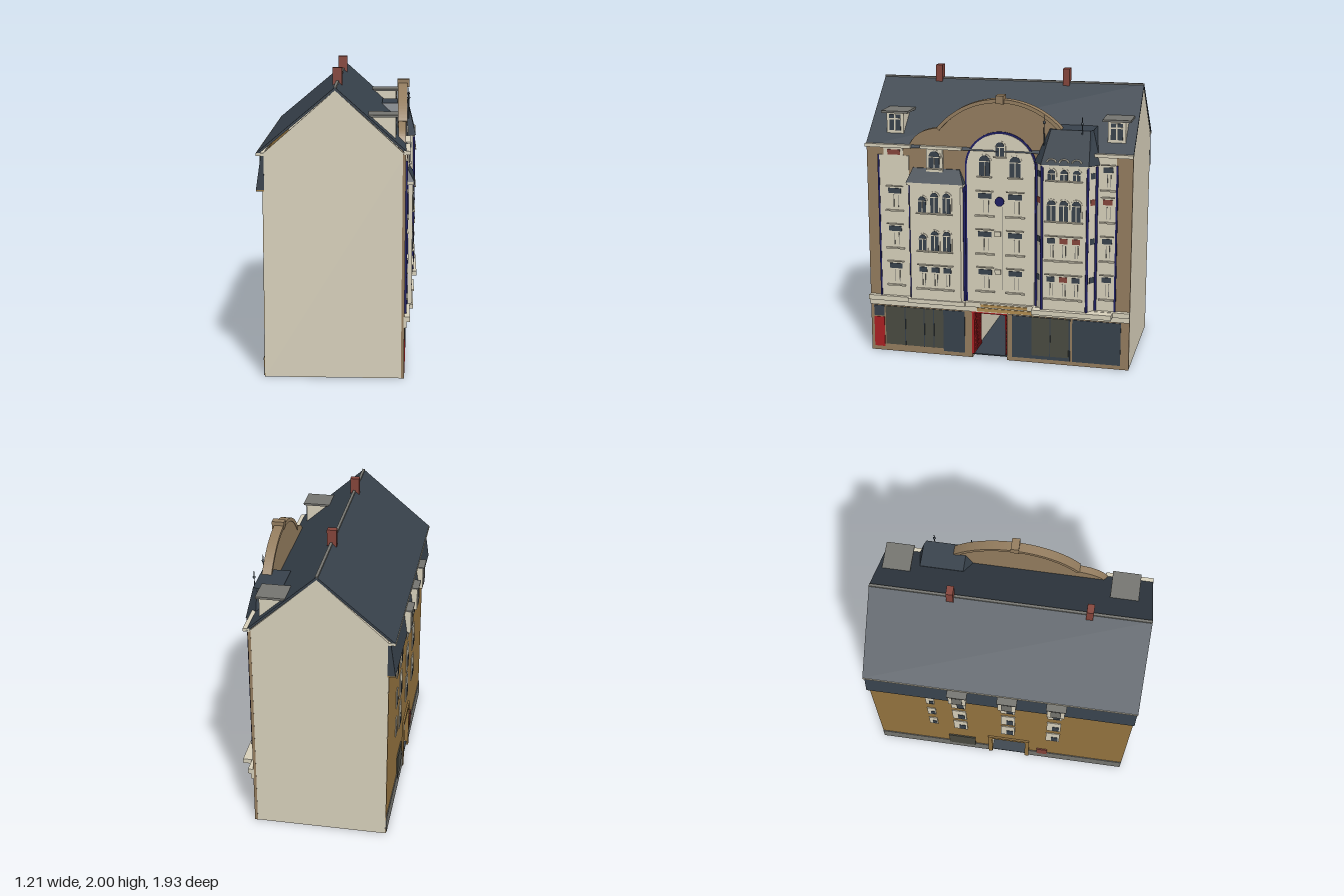
import * as THREE from 'three';

const mat = (name, color, double) => {
  const m = new THREE.MeshStandardMaterial({ color });
  m.name = name;
  if (double) m.side = THREE.DoubleSide;
  return m;
};

export function createModel() {
  const cream = mat('cream plaster', 0xd6cfba), brown = mat('brown stone', 0x937c5e);
  const ochre = mat('ochre render', 0x94733f), slate = mat('slate', 0x37414b);
  const blue = mat('blue trim', 0x1d1d62), red = mat('red paint', 0xa91f22);
  const brick = mat('brick red', 0x84443a), shopGlass = mat('shop glass', 0x494a40);
  const grey = mat('grey stone', 0x74746f), gold = mat('gold sign', 0xb08c50);

  const model = new THREE.Group();
  model.name = 'townhouse';
  const house = new THREE.Group();
  house.name = 'house';
  house.rotation.y = -0.092;
  house.position.set(-0.03, 0, -0.005);
  model.add(house);
  const group = (name) => {
    const g = new THREE.Group();
    g.name = name;
    house.add(g);
    return g;
  };
  const body = group('body'), facade = group('facade'), rear = group('rear');
  facade.position.z = -0.04;

  const add = (g, name, m, geo) => {
    const mesh = new THREE.Mesh(geo, m);
    mesh.name = name;
    g.add(mesh);
    return mesh;
  };
  // Box from its limits
  const box = (g, name, m, x0, x1, y0, y1, z0, z1) => add(g, name, m,
    new THREE.BoxGeometry(Math.abs(x1 - x0), Math.abs(y1 - y0), Math.abs(z1 - z0))
      .translate((x0 + x1) / 2, (y0 + y1) / 2, (z0 + z1) / 2));
  // Shape drawn in (z, y), front at x, thickness going back
  const slab = (g, name, m, shape, x, depth) => add(g, name, m,
    new THREE.ExtrudeGeometry(shape, { depth, bevelEnabled: false, curveSegments: 20 })
      .rotateY(-Math.PI / 2).translate(x, 0, 0));
  const poly = (pts) => new THREE.Shape(pts.map(p => new THREE.Vector2(p[0], p[1])));
  const arch = (z, w, y0, y1) => {
    const s = new THREE.Shape(), r = w / 2;
    s.moveTo(z - r, y0);
    s.lineTo(z + r, y0);
    s.absarc(z, y1 - r, r, 0, Math.PI, false);
    s.closePath();
    return s;
  };
  // Solid between two plans of [x, z] points, running from +z to -z along the front
  const loft = (g, name, m, a, b, y0, y1) => {
    const n = a.length, pos = [];
    const A = i => [a[i % n][0], y0, a[i % n][1]], B = i => [b[i % n][0], y1, b[i % n][1]];
    for (let i = 0; i < n; i++) pos.push(...A(i), ...A(i + 1), ...B(i + 1), ...A(i), ...B(i + 1), ...B(i));
    for (let i = 1; i < n - 1; i++) pos.push(...B(0), ...B(i), ...B(i + 1), ...A(0), ...A(i + 1), ...A(i));
    const geo = new THREE.BufferGeometry();
    geo.setAttribute('position', new THREE.Float32BufferAttribute(pos, 3));
    geo.computeVertexNormals();
    return add(g, name, m, geo);
  };
  // Wall with the carriage passage cut out at the bottom
  const wallShape = (z0, z1, za, zb, h, top) =>
    poly([[z0, 0], [za, 0], [za, h], [zb, h], [zb, 0], [z1, 0], [z1, top], [z0, top]]);

  // Outer shell
  const gable = poly([[-0.447, 0], [0.46, 0], [0.46, 1.485], [0.014, 1.89], [-0.447, 1.485]]);
  for (const z of [-0.922, 0.902])
    add(body, 'gableWall', cream, new THREE.ExtrudeGeometry(gable, { depth: 0.02, bevelEnabled: false }).translate(0, 0, z));
  slab(body, 'backWall', ochre, wallShape(-0.92, 0.92, -0.07, 0.18, 0.34, 1.48), -0.435, 0.015);
  slab(body, 'frontWall', brown, wallShape(-0.923, 0.923, -0.07, 0.18, 0.34, 1.49), 0.465, 0.02);

  // Passage
  for (const z of [-0.08, 0.18]) box(body, 'passageWall', cream, -0.435, 0.445, 0, 1.4, z, z + 0.01);
  box(body, 'passageCeiling', cream, -0.435, 0.445, 0.34, 0.35, -0.07, 0.18);
  box(body, 'passageFloor', slate, -0.45, 0.46, 0.022, 0.03, -0.07, 0.18);
  box(body, 'passageWindow', slate, 0.0, 0.1, 0.15, 0.23, -0.086, -0.08);
  for (const z of [-0.058, 0.168]) {
    for (let i = 0; i < 8; i++) {
      const x = 0.27 + i * 0.025;
      box(body, 'gateBar', red, x, x + 0.01, 0.035, 0.32, z - 0.004, z + 0.004);
    }
    for (let i = 0; i < 10; i++) box(body, 'gateRail', red, 0.27, 0.455, 0.035 + i * 0.031, 0.045 + i * 0.031, z - 0.004, z + 0.004);
  }

  // Main roof, ridge, chimneys and front dormers
  const roof = poly([[-0.487, 1.49], [-0.465, 1.49], [0.014, 1.89], [0.465, 1.49], [0.487, 1.49], [0.014, 1.91]]);
  add(body, 'roof', slate, new THREE.ExtrudeGeometry(roof, { depth: 1.85, bevelEnabled: false }).translate(0, 0, -0.925));
  box(body, 'ridgeCap', grey, 0.005, 0.023, 1.9, 1.913, -0.925, 0.925);
  for (const z of [0.52, -0.39]) box(body, 'chimney', brick, -0.02, 0.044, 1.87, 2, z - 0.023, z + 0.023);
  for (const z of [0.735, -0.8]) {
    box(body, 'dormer', cream, 0.22, 0.4, 1.57, 1.71, z - 0.06, z + 0.06);
    box(body, 'dormerRoof', grey, 0.2, 0.415, 1.71, 1.725, z - 0.095, z + 0.095);
    box(body, 'dormerWindow', slate, 0.4, 0.405, 1.59, 1.7, z - 0.04, z + 0.04);
    box(body, 'dormerMullion', cream, 0.402, 0.408, 1.59, 1.7, z - 0.005, z + 0.005);
    box(body, 'dormerRail', cream, 0.402, 0.408, 1.665, 1.675, z - 0.04, z + 0.04);
  }

  // Curved parapet
  const par = new THREE.Shape();
  par.moveTo(-0.64, 1.45);
  par.lineTo(0.67, 1.45);
  par.quadraticCurveTo(0.645, 1.61, 0.455, 1.63);
  par.absarc(0.015, 1.274, 0.566, 0.68, Math.PI - 0.68, false);
  par.quadraticCurveTo(-0.615, 1.61, -0.64, 1.45);
  slab(facade, 'parapet', brown, par, 0.467, 0.05);
  const rim = new THREE.Shape();
  rim.absarc(0.015, 1.274, 0.57, 0.68, Math.PI - 0.68, false);
  rim.absarc(0.015, 1.274, 0.545, Math.PI - 0.68, 0.68, true);
  slab(facade, 'parapetRim', brown, rim, 0.478, 0.065);
  box(facade, 'keystone', brown, 0.41, 0.495, 1.815, 1.87, -0.012, 0.042);

  // Centre panel with blue edge
  slab(facade, 'centrePanelEdge', blue, arch(0.012, 0.5, 0.42, 1.625), 0.473, 0.01);
  slab(facade, 'centrePanel', cream, arch(0.012, 0.472, 0.42, 1.611), 0.478, 0.012);

  // Side strips
  box(facade, 'leftStrip', cream, 0.46, 0.474, 0.42, 1.43, 0.66, 0.875);
  box(facade, 'leftStripHead', cream, 0.46, 0.474, 1.43, 1.49, 0.7, 0.84);
  box(facade, 'rightStrip', cream, 0.46, 0.474, 0.42, 1.49, -0.775, -0.65);
  for (const z of [0.877, -0.78]) box(facade, 'blueEdge', blue, 0.46, 0.478, 0.42, 1.43, z - 0.006, z + 0.006);
  for (const [z0, z1] of [[0.64, 0.967], [-0.885, -0.63]]) box(facade, 'eavesCornice', cream, 0.45, 0.495, 1.485, 1.508, z0, z1);

  // Left oriel with slate roof and gabled window above
  const oriel = [[0.44, 0.66], [0.465, 0.66], [0.515, 0.645], [0.515, 0.285], [0.465, 0.27], [0.44, 0.27]];
  loft(facade, 'leftOriel', cream, oriel, oriel, 0.42, 1.24);
  box(facade, 'leftOrielCornice', cream, 0.44, 0.522, 1.235, 1.255, 0.265, 0.665);
  loft(facade, 'leftOrielRoof', slate, [[0.44, 0.668], [0.525, 0.668], [0.525, 0.262], [0.44, 0.262]],
    [[0.44, 0.63], [0.475, 0.63], [0.475, 0.3], [0.44, 0.3]], 1.255, 1.35);
  box(facade, 'atticWindowBlock', cream, 0.44, 0.49, 1.33, 1.49, 0.415, 0.53);
  box(facade, 'atticWindowCornice', cream, 0.44, 0.5, 1.488, 1.508, 0.28, 0.57);

  // Right oriel tower
  const tower = [[0.44, -0.23], [0.465, -0.23], [0.535, -0.285], [0.535, -0.595], [0.465, -0.65], [0.44, -0.65]];
  loft(facade, 'tower', cream, tower, tower, 0.42, 1.43);
  loft(facade, 'towerRoof', slate,
    [[0.3, -0.22], [0.47, -0.22], [0.548, -0.278], [0.548, -0.602], [0.47, -0.668], [0.3, -0.668]],
    [[0.3, -0.32], [0.46, -0.32], [0.49, -0.335], [0.49, -0.6], [0.46, -0.615], [0.3, -0.615]], 1.43, 1.66);
  box(facade, 'towerCornice', cream, 0.44, 0.542, 1.41, 1.43, -0.6, -0.28);
  for (const z of [-0.29, -0.545]) {
    add(facade, 'finial', slate, new THREE.CylinderGeometry(0.002, 0.005, 0.2, 8).translate(0.495, 1.65, z));
    add(facade, 'finialBall', slate, new THREE.SphereGeometry(0.01, 10, 8).translate(0.495, 1.705, z));
  }
  // Blue columns on both oriels
  const columns = [[0.478, 0.655, 1.24], [0.478, 0.268, 1.24], [0.475, -0.237, 1.42],
    [0.535, -0.285, 1.42], [0.535, -0.595, 1.42], [0.475, -0.645, 1.42]];
  for (const [x, z, top] of columns)
    add(facade, 'blueColumn', blue, new THREE.CylinderGeometry(0.009, 0.009, top - 0.42, 10).translate(x, (top + 0.42) / 2, z));

  // Windows: dark top light, pale casement with thin bars, sill and hood
  const win = (x, z, y, w, m = slate, sill = true) => {
    box(facade, 'topLight', m, x, x + 0.005, y - 0.018, y + 0.018, z - w / 2, z + w / 2);
    for (const k of [-0.3, 0.05]) box(facade, 'casementBar', grey, x, x + 0.004, y - 0.115, y - 0.03, z + k * w, z + k * w + 0.004);
    if (!sill) return;
    box(facade, 'windowSill', cream, x, x + 0.016, y - 0.145, y - 0.135, z - w / 2 - 0.02, z + w / 2 + 0.02);
    box(facade, 'windowHood', cream, x, x + 0.012, y + 0.03, y + 0.037, z - w / 2 - 0.015, z + w / 2 + 0.015);
  };
  const archWin = (x, z, w, y0, y1) => {
    slab(facade, 'archedSurround', cream, arch(z, w + 0.02, y0 - 0.008, y1 + 0.01), x + 0.004, 0.006);
    slab(facade, 'archedWindow', slate, arch(z, w, y0, y1), x + 0.008, 0.006);
    box(facade, 'archedWindowBar', cream, x, x + 0.011, y0, y1 - w * 0.5, z - 0.003, z + 0.003);
    box(facade, 'archedWindowRail', cream, x, x + 0.011, y1 - w * 0.5 - 0.006, y1 - w * 0.5, z - w / 2, z + w / 2);
    box(facade, 'archedWindowSill', cream, x, x + 0.018, y0 - 0.012, y0 - 0.004, z - w / 2 - 0.015, z + w / 2 + 0.015);
  };
  for (const y of [0.64, 0.91, 1.18]) {
    win(0.474, 0.765, y, 0.09);
    win(0.474, -0.72, y, 0.065, y > 1 ? brick : slate);
    for (const z of [0.122, -0.09]) win(0.478, z, y, 0.095);
  }
  box(facade, 'leftTopLight', brick, 0.474, 0.479, 1.435, 1.47, 0.72, 0.81);
  win(0.474, -0.72, 1.4, 0.065);
  for (const z of [0.122, -0.09]) archWin(0.478, z, 0.075, 1.32, 1.46);
  archWin(0.478, 0.015, 0.06, 1.46, 1.555);
  archWin(0.49, 0.472, 0.075, 1.36, 1.475);
  [0.555, 0.468, 0.382].forEach((z, i) => {
    win(0.515, z, 0.64, 0.055, slate);
    for (const y of [0.78, 1.05]) archWin(0.515, z, 0.055, y, y + (i ? 0.14 : 0.11));
  });
  [-0.35, -0.435, -0.52].forEach((z, i) => {
    win(0.535, z, 0.64, 0.055, i === 1 ? brick : slate);
    win(0.535, z, 0.91, 0.055, i ? brick : slate);
    archWin(0.535, z, 0.06, 1.05, 1.19);
    archWin(0.535, z, 0.05, 1.33, 1.4);
    add(facade, 'roofEyebrow', cream, new THREE.TorusGeometry(0.03, 0.006, 6, 12, Math.PI)
      .scale(1, 0.7, 1).rotateY(Math.PI / 2).translate(0.542, 1.45, z));
  });
  // Narrow lights on the slanted tower sides
  for (const y of [0.64, 0.91, 1.18, 1.36]) for (const s of [1, -1]) {
    const light = box(facade, 'towerSideLight', y === 1.18 ? brick : slate, -0.003, 0.003, -0.02, 0.02, -0.02, 0.02);
    light.position.set(0.5, y, -0.44 + s * 0.1825);
    light.rotation.y = -s * 0.905;
  }
  add(facade, 'blueRoundel', blue, new THREE.CylinderGeometry(0.032, 0.032, 0.012, 20).rotateZ(Math.PI / 2).translate(0.484, 1.145, 0.018));
  box(facade, 'centreRod', grey, 0.478, 0.484, 0.52, 1.11, -0.002, 0.002);
  for (const y of [0.65, 0.92]) box(facade, 'centreBracket', cream, 0.478, 0.495, y - 0.02, y + 0.015, 0.01, 0.05);

  // Band above the shops
  box(facade, 'shopFascia', cream, 0.46, 0.48, 0.345, 0.39, -0.885, 0.965);
  box(facade, 'shopCornice', cream, 0.46, 0.5, 0.385, 0.42, -0.885, 0.965);
  box(facade, 'leftOrielBase', cream, 0.46, 0.525, 0.39, 0.42, 0.26, 0.67);
  box(facade, 'towerBase', cream, 0.46, 0.563, 0.385, 0.418, -0.77, -0.22);
  box(facade, 'lowerSign', gold, 0.48, 0.486, 0.352, 0.376, -0.21, 0.18);
  box(facade, 'upperSign', gold, 0.5, 0.506, 0.392, 0.41, -0.18, 0.15);

  // Shop fronts
  const pane = (name, m, z0, z1, y0, y1) => box(facade, name, m, 0.463, 0.47, y0, y1, z0, z1);
  pane('redDoor', red, 0.865, 0.94, 0.03, 0.25);
  pane('doorLight', slate, 0.865, 0.94, 0.26, 0.335);
  pane('leftShopWindow', shopGlass, 0.43, 0.855, 0.05, 0.335);
  pane('leftShopPanel', slate, 0.275, 0.43, 0.03, 0.335);
  pane('midShopPanel', slate, -0.475, -0.065, 0.03, 0.335);
  box(facade, 'midShopWindow', shopGlass, 0.468, 0.473, 0.055, 0.335, -0.465, -0.205);
  pane('rightShopPanel', slate, -0.825, -0.49, 0.03, 0.335);
  for (const z of [0.71, 0.57, 0.5, -0.335]) box(facade, 'shopMullion', slate, 0.468, 0.475, 0.05, 0.335, z - 0.003, z + 0.003);
  box(facade, 'gateLintel', red, 0.455, 0.472, 0.332, 0.348, -0.03, 0.225);
  box(facade, 'gatePost', red, 0.455, 0.47, 0.03, 0.335, 0.205, 0.222);

  // Rear mansard apron with dormers
  loft(rear, 'mansard', slate, [[-0.44, 0.923], [-0.44, -0.923], [-0.492, -0.923], [-0.492, 0.923]],
    [[-0.44, 0.923], [-0.44, -0.923], [-0.458, -0.923], [-0.458, 0.923]], 1.25, 1.48);
  box(rear, 'mansardSoffit', ochre, -0.49, -0.44, 1.24, 1.25, -0.923, 0.923);
  box(rear, 'rearEaves', cream, -0.49, -0.44, 1.472, 1.49, -0.925, 0.925);
  for (const z of [-0.29, 0.05, 0.385]) {
    box(rear, 'rearDormer', cream, -0.515, -0.44, 1.26, 1.42, z - 0.06, z + 0.06);
    box(rear, 'rearDormerRoof', grey, -0.525, -0.44, 1.42, 1.43, z - 0.068, z + 0.068);
    box(rear, 'rearDormerWindow', grey, -0.52, -0.515, 1.28, 1.4, z - 0.035, z + 0.035);
  }
  // Rear windows
  for (const [z, w, h, ys] of [[-0.5, 0.06, 0.14, [0.53, 0.76, 1.0]], [-0.3, 0.1, 0.19, [0.48, 0.73, 0.98]],
    [0.05, 0.1, 0.2, [0.49, 0.74, 1.01]], [0.38, 0.1, 0.19, [0.48, 0.74, 1.02]]]) for (const y of ys) {
    box(rear, 'rearWindow', cream, -0.456, -0.449, y, y + h, z - w / 2, z + w / 2);
    box(rear, 'rearWindowGlass', slate, -0.459, -0.455, y + 0.02, y + h * 0.55, z - w * 0.1, z + w * 0.38);
  }
  // Plinth, passage frame, cellar door and hatch
  for (const [z0, z1] of [[-0.92, -0.09], [0.2, 0.92]]) box(rear, 'plinth', grey, -0.456, -0.449, 0.01, 0.13, z0, z1);
  for (const z of [-0.1, 0.18]) box(rear, 'passageJamb', ochre, -0.462, -0.44, 0, 0.34, z, z + 0.03);
  box(rear, 'passageHead', ochre, -0.462, -0.44, 0.34, 0.375, -0.1, 0.21);
  box(rear, 'cellarDoor', shopGlass, -0.459, -0.449, 0.09, 0.28, -0.4, -0.2);
  box(rear, 'redHatch', brick, -0.459, -0.449, 0.1, 0.21, 0.27, 0.35);

  return model;
}
